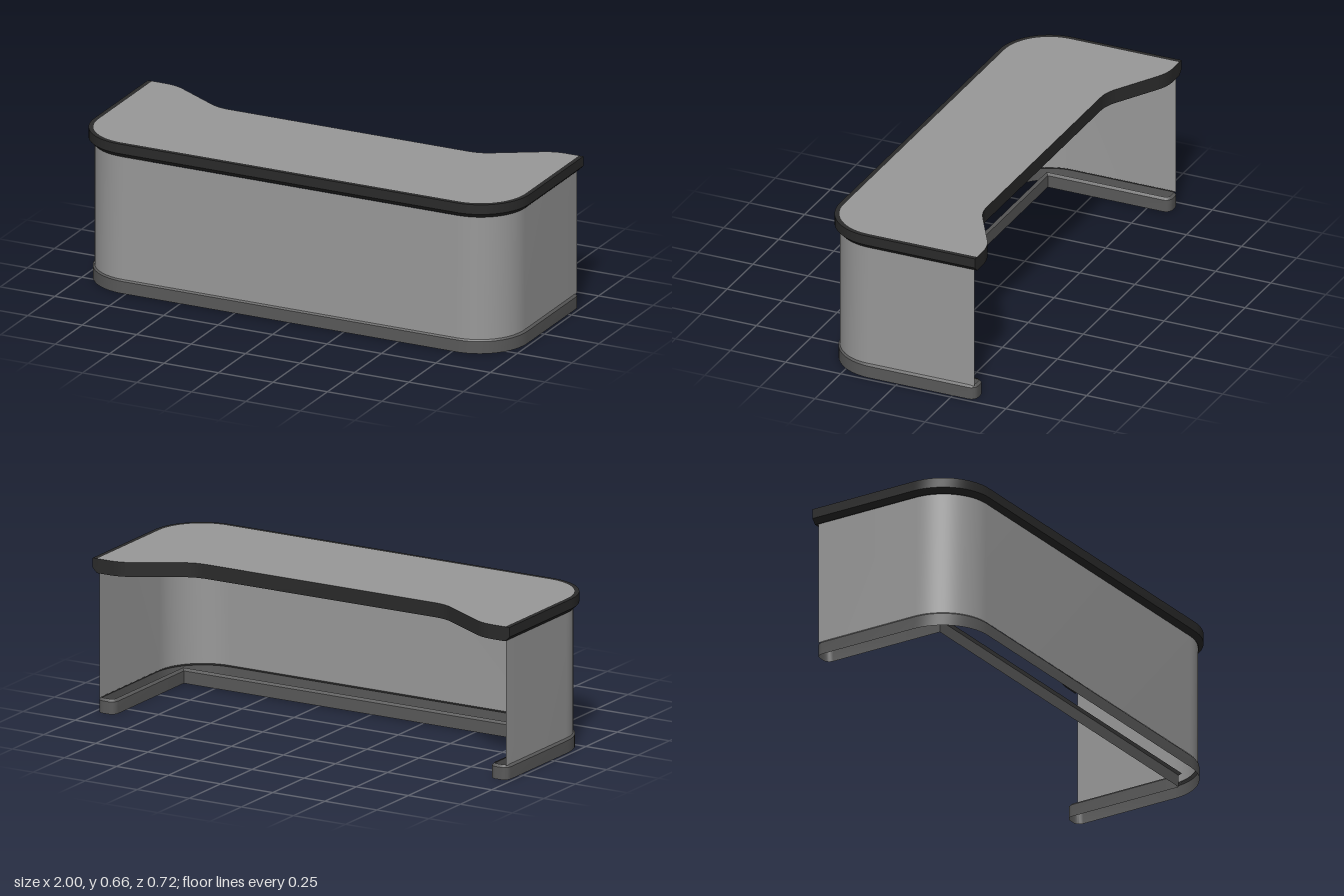
import * as THREE from 'three';
import { toCreasedNormals } from 'three/addons/utils/BufferGeometryUtils.js';

const V = (x, z) => new THREE.Vector2(x, z);

// Arc in the floor plane, angles in quarter turns
function arc(cx, cz, r, q0, q1, n) {
  return Array.from({ length: n + 1 }, (_, i) => {
    const a = (q0 + (q1 - q0) * i / n) * Math.PI / 2;
    return V(cx + r * Math.cos(a), cz + r * Math.sin(a));
  });
}

// Continue a +x half outline with its mirror image
const mirrored = half => [...half, ...half.slice().reverse().map(p => V(-p.x, p.y))];

// Skin through outlines stacked at given heights
function loft(levels, closed) {
  const pos = [], idx = [];
  const n = levels[0].points.length;
  for (const { points, y } of levels) for (const p of points) pos.push(p.x, y, p.y);
  for (let j = 0; j < levels.length - 1; j++) {
    for (let i = 0; i < (closed ? n : n - 1); i++) {
      const k = (i + 1) % n, lo = j * n, hi = lo + n;
      idx.push(lo + i, hi + i, lo + k, lo + k, hi + i, hi + k);
    }
  }
  const g = new THREE.BufferGeometry();
  g.setAttribute('position', new THREE.Float32BufferAttribute(pos, 3));
  g.setIndex(idx);
  return toCreasedNormals(g, 0.45);
}

// Flat face filling an outline
function cap(points, y, up) {
  const shape = new THREE.Shape(points.map(p => V(p.x, up ? -p.y : p.y)));
  return new THREE.ShapeGeometry(shape).rotateX(up ? -Math.PI / 2 : Math.PI / 2).translate(0, y, 0);
}

// Worktop outline: rounded front, stepped back; the inset spares the back edge
function topOutline(t) {
  const r = 0.225, back = -0.36, recess = -0.203;
  const bend = (a, b, c) => new THREE.QuadraticBezierCurve(a, b, c).getPoints(6);
  return mirrored([
    ...bend(V(0.55, recess), V(0.6, recess), V(0.643, -0.228)),
    ...bend(V(0.827, -0.335), V(0.87, back), V(0.92, back)),
    V(1 - t, back),
    ...arc(1 - r, 0.36 - r, r - t, 0, 1, 16),
  ]);
}

// Plinth outline: rounded outside, square inside, rounded feet at the back
function plinthOutline(t) {
  const r = 0.22, e = 0.03, X = 0.985, inner = 0.9, back = -0.353;
  return mirrored([
    V(inner + t, 0.2 + t),
    ...arc(inner + e, back + e, e - t, 2, 3, 5),
    ...arc(X - e, back + e, e - t, 3, 4, 5),
    ...arc(X - r, 0.347 - r, r - t, 0, 1, 16),
  ]);
}

export function createModel() {
  const grey = new THREE.MeshStandardMaterial({ color: 0x999999, side: THREE.DoubleSide });
  grey.name = 'light grey';
  const darkGrey = new THREE.MeshStandardMaterial({ color: 0x595959, side: THREE.DoubleSide });
  darkGrey.name = 'dark grey';
  const black = new THREE.MeshStandardMaterial({ color: 0x2a2a2a });
  black.name = 'soft black';

  const group = new THREE.Group();
  group.name = 'receptionDesk';
  const add = (name, geometry, material) => {
    const mesh = new THREE.Mesh(geometry, material);
    mesh.name = name;
    group.add(mesh);
  };

  // Worktop: bevelled black edge, black underside, grey surface
  const full = topOutline(0), inset = topOutline(0.02);
  add('worktopEdge', loft([
    { points: inset, y: 0.598 }, { points: full, y: 0.618 },
    { points: full, y: 0.66 }, { points: inset, y: 0.66 },
  ], true), black);
  add('worktopUnderside', cap(inset, 0.598, false), black);
  add('worktopSurface', cap(inset, 0.66, true), grey);

  // Thin wall wrapping the front and both sides
  const r = 0.21, X = 0.976;
  const wall = mirrored([V(X, -0.347), ...arc(X - r, 0.341 - r, r, 0, 1, 16)]);
  add('wallPanel', loft([{ points: wall, y: 0.06 }, { points: wall, y: 0.598 }], false), grey);

  // Hollow plinth with a bevelled top edge
  const foot = plinthOutline(0);
  add('plinth', loft([
    { points: foot, y: 0 }, { points: foot, y: 0.053 }, { points: plinthOutline(0.01), y: 0.063 },
  ], true), darkGrey);

  return group;
}
